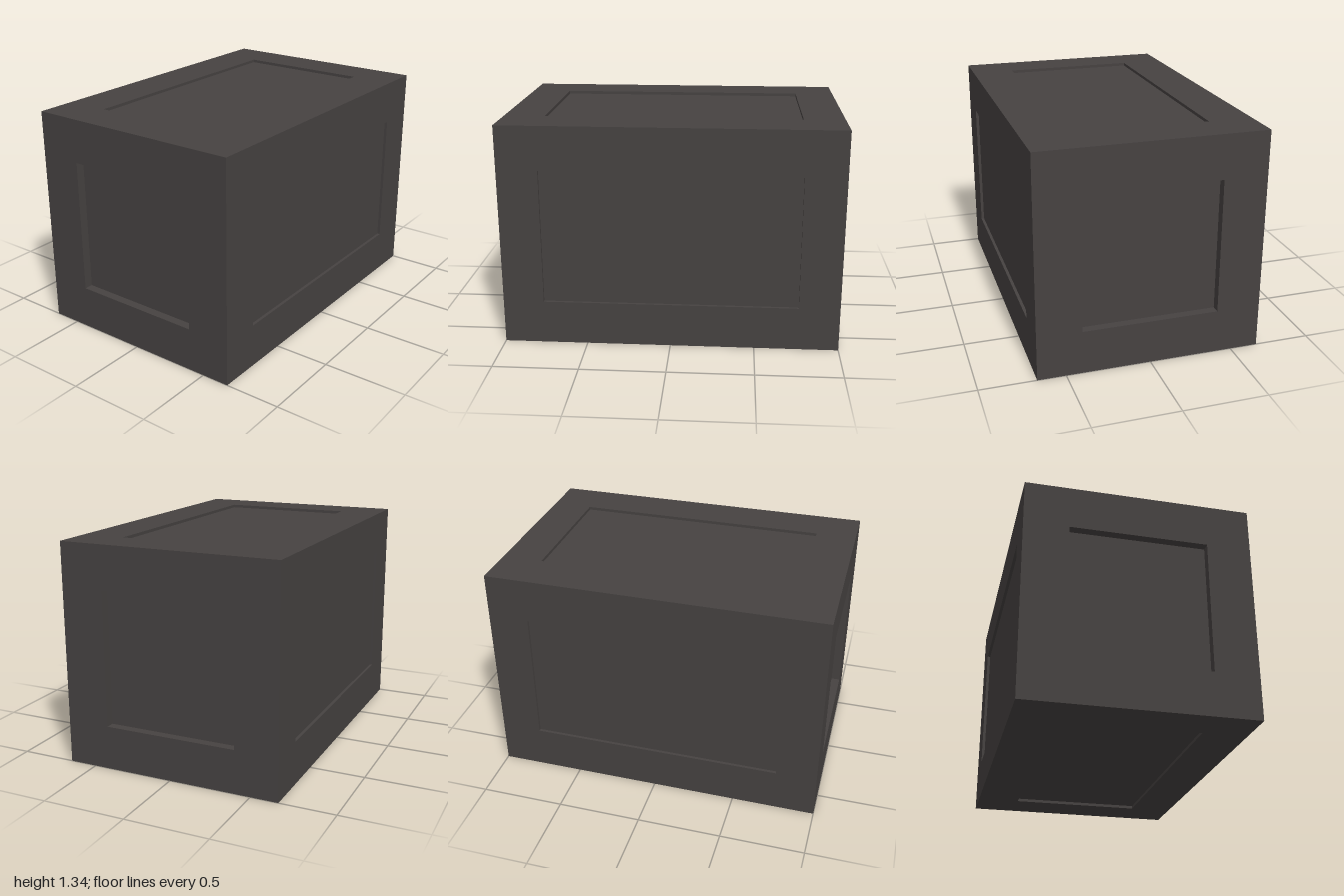
import * as THREE from 'three';
import { mergeGeometries } from 'three/addons/utils/BufferGeometryUtils.js';

const LENGTH = 2, SIDE = 1.335;            // outer size of the crate
const PANEL_LENGTH = 1.515, PANEL_SIDE = 0.81; // recess openings
const HALF_PI = Math.PI / 2;

// Flat border around a rectangular opening, facing +z
function frameGeometry(w, h, pw, ph) {
  const rect = (Type, a, b) => new Type([[-a, -b], [a, -b], [a, b], [-a, b]]
    .map(([x, y]) => new THREE.Vector2(x / 2, y / 2)));
  const shape = rect(THREE.Shape, w, h);
  shape.holes.push(rect(THREE.Path, pw, ph));
  return new THREE.ShapeGeometry(shape);
}

// Four inward-facing walls of the recess
function wallsGeometry(pw, ph, depth) {
  const walls = [];
  for (const s of [-1, 1]) {
    walls.push(new THREE.PlaneGeometry(pw, depth).rotateX(s * HALF_PI).translate(0, s * ph / 2, -depth / 2));
    walls.push(new THREE.PlaneGeometry(depth, ph).rotateY(-s * HALF_PI).translate(s * pw / 2, 0, -depth / 2));
  }
  return mergeGeometries(walls);
}

// One crate face with its sunken panel
function recessedFace(name, w, h, pw, ph, depth, material) {
  const face = new THREE.Group();
  face.name = name;
  const add = (part, geometry) => {
    const mesh = new THREE.Mesh(geometry, material);
    mesh.name = part;
    face.add(mesh);
  };
  add('frame', frameGeometry(w, h, pw, ph));
  add('recessWalls', wallsGeometry(pw, ph, depth));
  add('panel', new THREE.PlaneGeometry(pw, ph).translate(0, 0, -depth));
  return face;
}

export function createModel() {
  const crate = new THREE.Group();
  crate.name = 'crate';
  const charcoal = new THREE.MeshStandardMaterial({ color: 0x464241 });
  charcoal.name = 'charcoal';

  // Long faces wrap around the x axis
  ['front', 'bottom', 'back', 'top'].forEach((side, i) => {
    const face = recessedFace(side + 'Face', LENGTH, SIDE, PANEL_LENGTH, PANEL_SIDE, 0.018, charcoal);
    const angle = i * HALF_PI;
    face.rotation.x = angle;
    face.position.set(0, SIDE / 2 - Math.sin(angle) * SIDE / 2, Math.cos(angle) * SIDE / 2);
    crate.add(face);
  });

  // Square ends with deeper recesses
  for (const s of [-1, 1]) {
    const face = recessedFace(s > 0 ? 'leftEnd' : 'rightEnd', SIDE, SIDE, PANEL_SIDE, PANEL_SIDE, 0.052, charcoal);
    face.rotation.y = s * HALF_PI;
    face.position.set(s * LENGTH / 2, SIDE / 2, 0);
    crate.add(face);
  }
  return crate;
}
